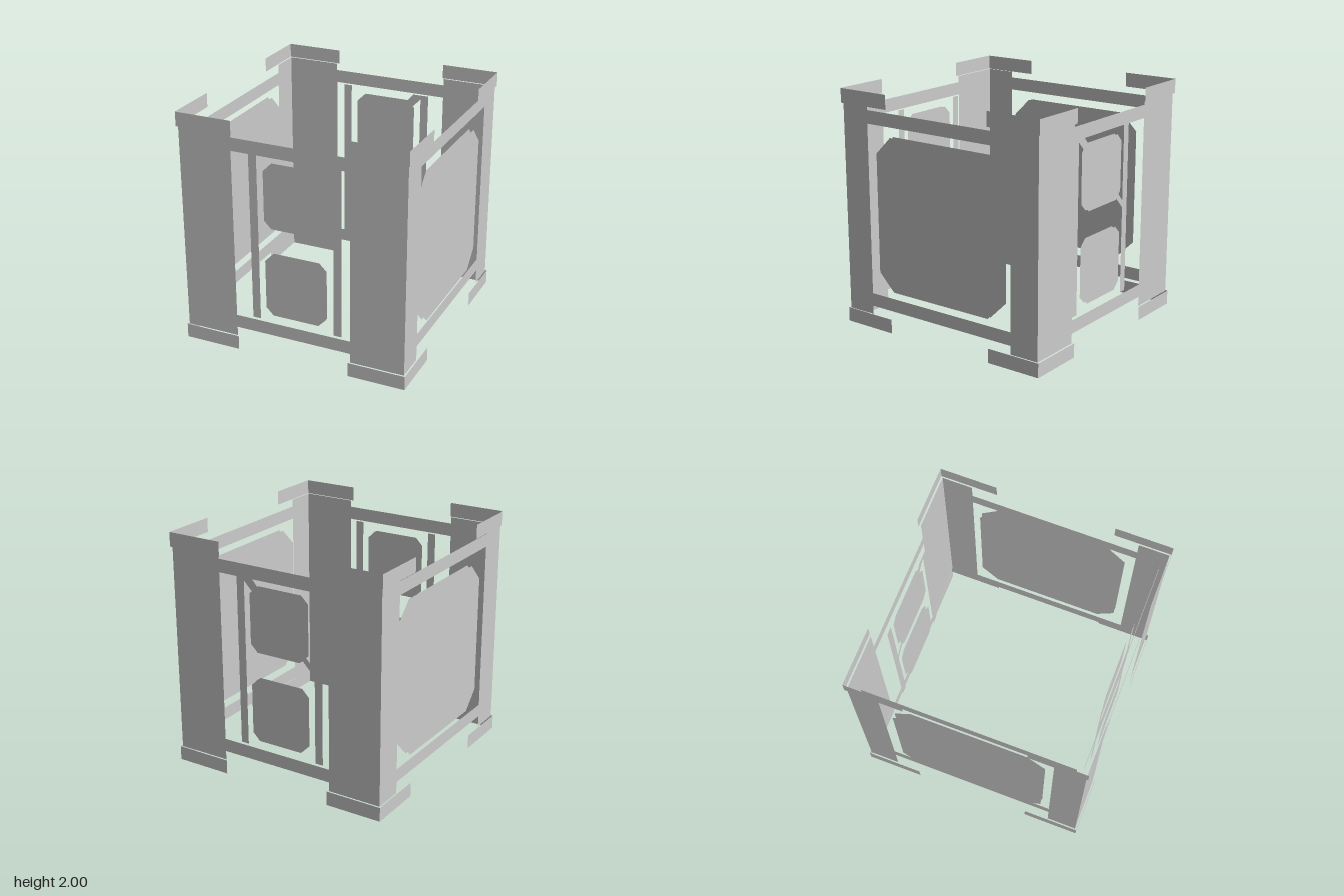
import * as THREE from 'three';

const material = new THREE.MeshStandardMaterial({ color: 0xcccccc, flatShading: true, side: THREE.DoubleSide });

// Flat sheet in the xy plane from a list of corners, at depth z
function sheet(name, corners, z) {
  const shape = new THREE.Shape(corners.map(([x, y]) => new THREE.Vector2(x, y)));
  const mesh = new THREE.Mesh(new THREE.ShapeGeometry(shape), material);
  mesh.name = name;
  mesh.position.z = z;
  return mesh;
}

const strip = (name, x0, x1, y0, y1, z) =>
  sheet(name, [[x0, y0], [x1, y0], [x1, y1], [x0, y1]], z);

// Rectangle with cut corners, as an outer and an inner sheet
function panel(name, w, y0, y1, cut, zOuter, zInner) {
  const group = new THREE.Group();
  group.name = name;
  const corners = [
    [-w + cut, y0], [w - cut, y0], [w, y0 + cut], [w, y1 - cut],
    [w - cut, y1], [-w + cut, y1], [-w, y1 - cut], [-w, y0 + cut],
  ];
  group.add(sheet('outerSheet', corners, zOuter), sheet('innerSheet', corners, zInner));
  return group;
}

// Posts, end caps and rails shared by all four walls; the wall faces +z
function wall(name, o) {
  const group = new THREE.Group();
  group.name = name;
  for (const s of [-1, 1]) {
    group.add(strip('post', s < 0 ? -0.965 : o.post, s < 0 ? -o.post : 0.965, 0.12, 1.88, 0.965));
    for (const y of [0, 1.88]) {
      group.add(strip('cap', s < 0 ? -o.capEnd : o.cap, s < 0 ? -o.cap : o.capEnd, y, y + 0.12, o.capDepth));
    }
  }
  group.add(strip('bottomRail', -0.875, 0.875, 0.168, 0.28, 0.92));
  group.add(strip('topRail', -0.875, 0.875, 1.727, 1.838, 0.92));
  return group;
}

// Front and back wall: two upright bars and two small panels
function endWall(name) {
  const group = wall(name, { post: 0.505, cap: 0.49, capEnd: 0.977, capDepth: 0.98 });
  for (const x of [-0.362, 0.362]) {
    group.add(strip('uprightBar', x - 0.035, x + 0.035, 0.28, 1.727, 0.888));
  }
  group.add(panel('lowerPanel', 0.263, 0.345, 0.89, 0.063, 0.905, 0.875));
  group.add(panel('upperPanel', 0.263, 1.117, 1.662, 0.063, 0.905, 0.875));
  return group;
}

// Side wall: one large panel
function sideWall(name) {
  const group = wall(name, { post: 0.71, cap: 0.5, capEnd: 0.98, capDepth: 0.977 });
  group.add(panel('largePanel', 0.63, 0.355, 1.653, 0.148, 0.955, 0.915));
  return group;
}

export function createModel() {
  const model = new THREE.Group();
  model.name = 'crate';

  const front = endWall('frontWall');
  const back = endWall('backWall');
  back.rotation.y = Math.PI;
  // Diagonal brace behind the upper back panel
  back.add(sheet('brace', [
    [0.327, 1.02], [0.327, 1.08], [-0.26, 1.727], [-0.327, 1.727], [-0.327, 1.69],
  ], 0.888));

  const left = sideWall('leftWall');
  left.rotation.y = Math.PI / 2;
  const right = sideWall('rightWall');
  right.rotation.y = -Math.PI / 2;

  model.add(front, back, left, right);
  return model;
}
